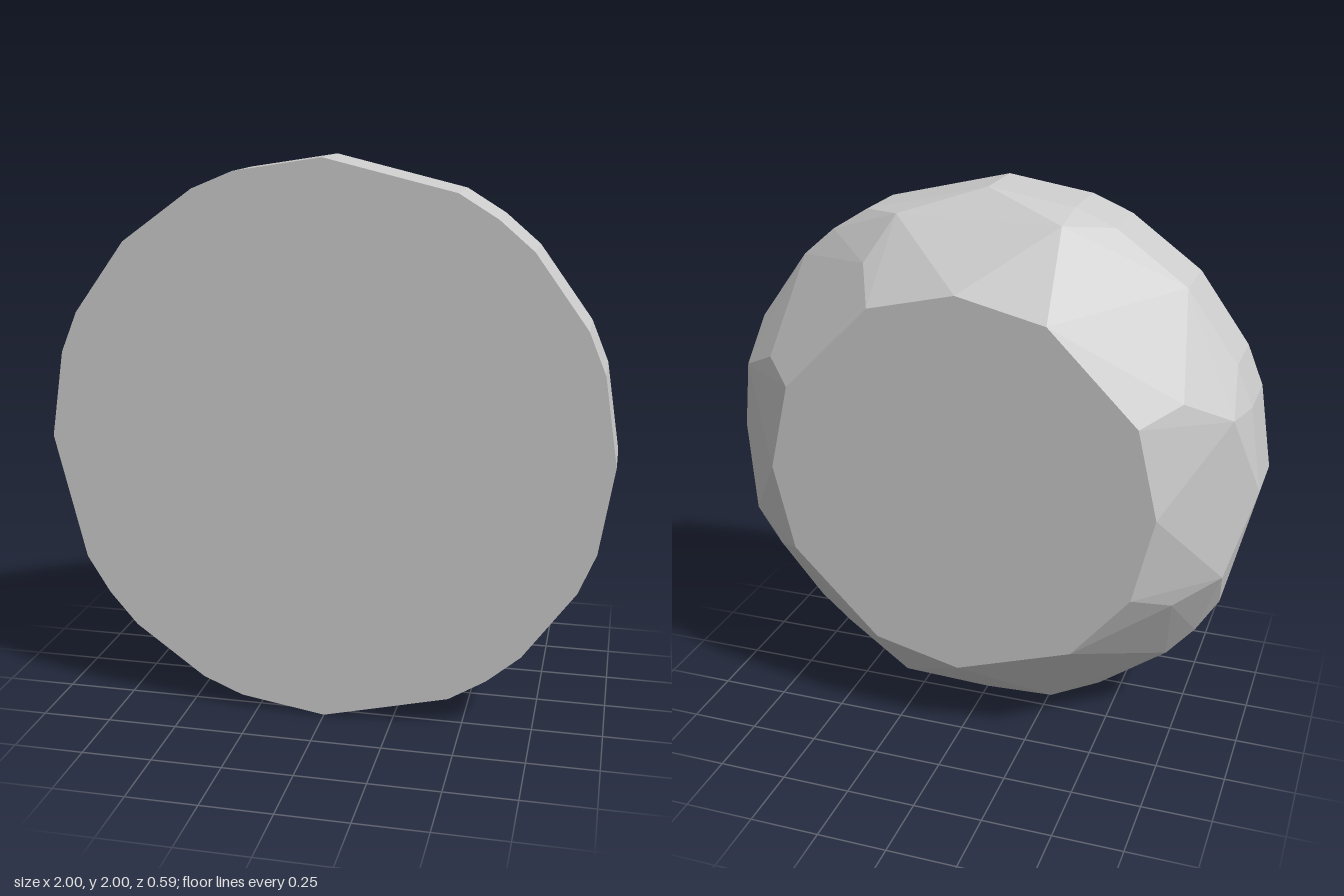
import * as THREE from 'three';
import { ConvexGeometry } from 'three/addons/geometries/ConvexGeometry.js';

// Points on a circle in the XY plane, at uneven angles (degrees)
function ring(radius, z, angles) {
  return angles.map((a) => {
    const t = THREE.MathUtils.degToRad(a);
    return new THREE.Vector3(radius * Math.cos(t), 1 + radius * Math.sin(t), z);
  });
}

export function createModel() {
  const model = new THREE.Group();
  model.name = 'facetedDisc';

  // Irregular outer rim, the shoulder behind it, and the smaller back face
  const rim = [0, 18, 27, 45, 54, 63, 90, 108, 117, 135, 153, 162, 180,
    207, 216, 225, 243, 252, 270, 297, 306, 315, 333, 342];
  const shoulder = [18, 72, 108, 162, 198, 252, 288, 342];
  const slope = [26.5, 63.5, 153.5, 206.5, 333.5];
  const back = [0, 26.5, 63.5, 90, 116.5, 153.5, 180, 206.5, 233, 270, 296.5, 333.5];

  const geometry = new ConvexGeometry([
    ...ring(1, 0.295, rim),
    ...ring(1, 0.055, rim),
    ...ring(0.957, -0.06, shoulder),
    ...ring(0.845, -0.17, slope),
    ...ring(0.71, -0.295, back),
  ]);

  const disc = new THREE.Mesh(
    geometry,
    new THREE.MeshStandardMaterial({ color: 0xcccccc, flatShading: true })
  );
  disc.name = 'disc';
  model.add(disc);
  return model;
}
